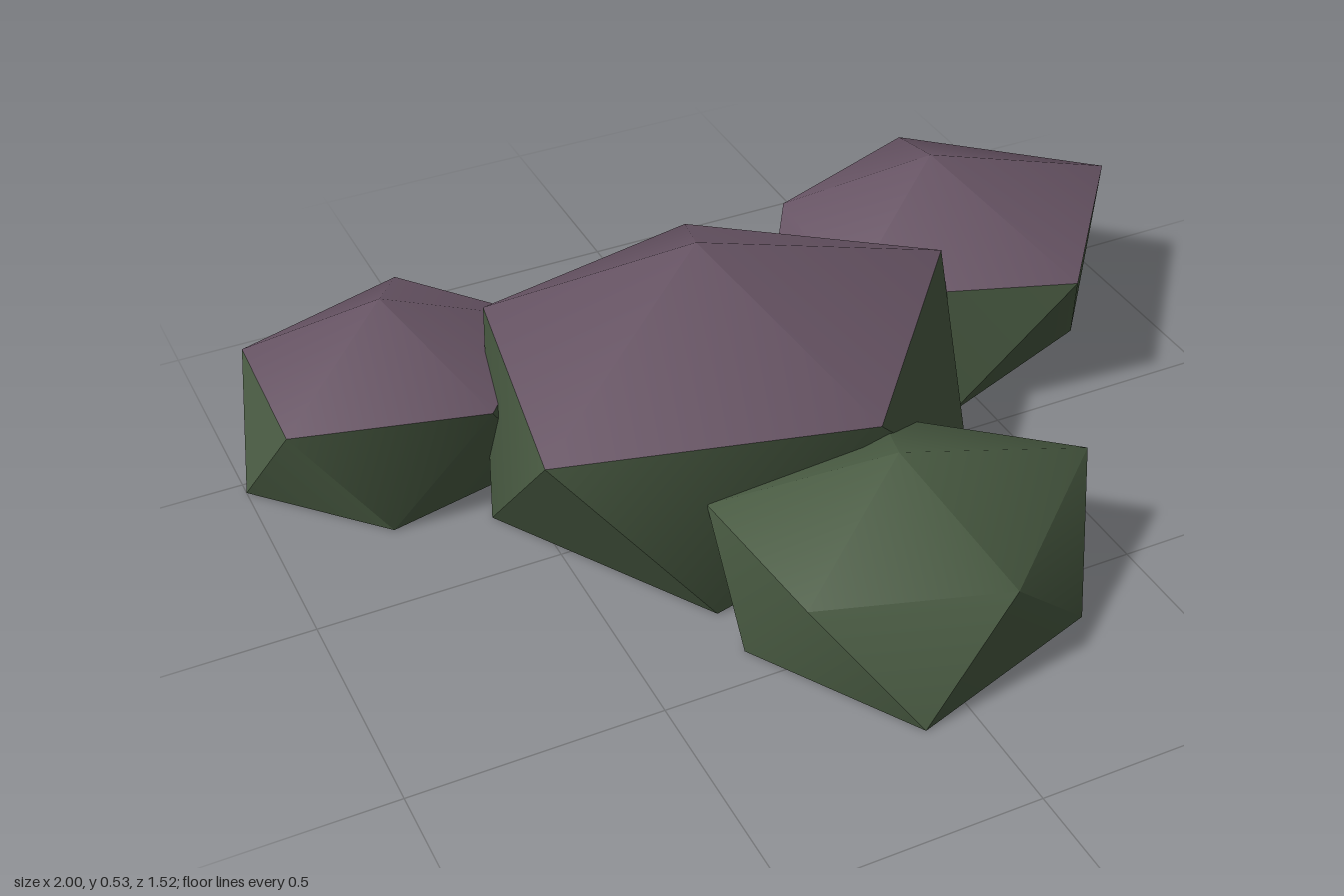
import * as THREE from 'three';
import { toCreasedNormals } from 'three/addons/utils/BufferGeometryUtils.js';

// Each boulder: a peak, a shoulder ring of five [x, z], and a ground ring of five
// lying between the shoulder points. mossy lists the side faces coloured like the cap.
const BOULDERS = [
  {
    name: 'mainBoulder', capped: true, mossy: [3], peak: [-0.12, 0.53, -0.16],
    heights: [0.34, 0.33, 0.33, 0.33, 0.33],
    shoulder: [[0.45, -0.18], [0.05, 0.3], [-0.57, 0.14], [-0.48, -0.42], [0.02, -0.53]],
    ground: [[0.35, 0.14], [-0.3, 0.3], [-0.58, -0.17], [-0.27, -0.6], [0.2, -0.47]],
  },
  {
    name: 'leftBoulder', capped: true, mossy: [2, 4], peak: [0.55, 0.425, -0.41],
    heights: [0.28, 0.28, 0.27, 0.27, 0.26],
    shoulder: [[1, -0.41], [0.69, -0.02], [0.24, -0.2], [0.29, -0.6], [0.67, -0.76]],
    ground: [[0.82, -0.22], [0.43, -0.07], [0.15, -0.43], [0.44, -0.72], [0.91, -0.66]],
  },
  {
    name: 'rightBoulder', capped: true, mossy: [], peak: [-0.67, 0.36, -0.5],
    heights: [0.23, 0.23, 0.23, 0.23, 0.23],
    shoulder: [[-0.33, -0.47], [-0.55, -0.2], [-0.94, -0.3], [-0.93, -0.64], [-0.56, -0.76]],
    ground: [[-0.42, -0.3], [-0.77, -0.22], [-1, -0.47], [-0.78, -0.76], [-0.38, -0.65]],
  },
  {
    name: 'frontBoulder', capped: false, mossy: [], peak: [0.02, 0.36, 0.42],
    heights: [0.23, 0.2, 0.22, 0.22, 0.23],
    shoulder: [[0.44, 0.42], [0.12, 0.7], [-0.26, 0.6], [-0.29, 0.24], [0.13, 0.15]],
    ground: [[0.32, 0.62], [-0.1, 0.76], [-0.3, 0.42], [-0.1, 0.1], [0.33, 0.2]],
  },
];

function boulderGeometry({ peak, heights, shoulder, ground, capped, mossy }) {
  const up = shoulder.map(([x, z], i) => [x, heights[i], z]);
  const low = ground.map(([x, z]) => [x, 0, z]);
  const base = [peak[0], 0, peak[2]];
  const cap = [], sides = [];
  for (let i = 0; i < 5; i++) {
    const j = (i + 1) % 5;
    (capped ? cap : sides).push(peak, up[j], up[i]);
    (mossy.includes(i) ? cap : sides).push(up[i], up[j], low[i]);
    sides.push(up[j], low[j], low[i]);
    sides.push(base, low[i], low[j]);
  }
  const geometry = new THREE.BufferGeometry();
  geometry.setAttribute('position', new THREE.Float32BufferAttribute([...cap, ...sides].flat(), 3));
  if (cap.length) geometry.addGroup(0, cap.length, 0);
  geometry.addGroup(cap.length, sides.length, 1);
  // soft facets, with the steep edges kept sharp
  return toCreasedNormals(geometry, 0.75);
}

export function createModel() {
  const purple = new THREE.MeshStandardMaterial({ color: 0x665363 });
  purple.name = 'dustyPurple';
  const green = new THREE.MeshStandardMaterial({ color: 0x4a5c43 });
  green.name = 'mossGreen';

  const model = new THREE.Group();
  model.name = 'boulderCluster';
  for (const spec of BOULDERS) {
    const boulder = new THREE.Mesh(boulderGeometry(spec), [purple, green]);
    boulder.name = spec.name;
    model.add(boulder);
  }
  return model;
}
